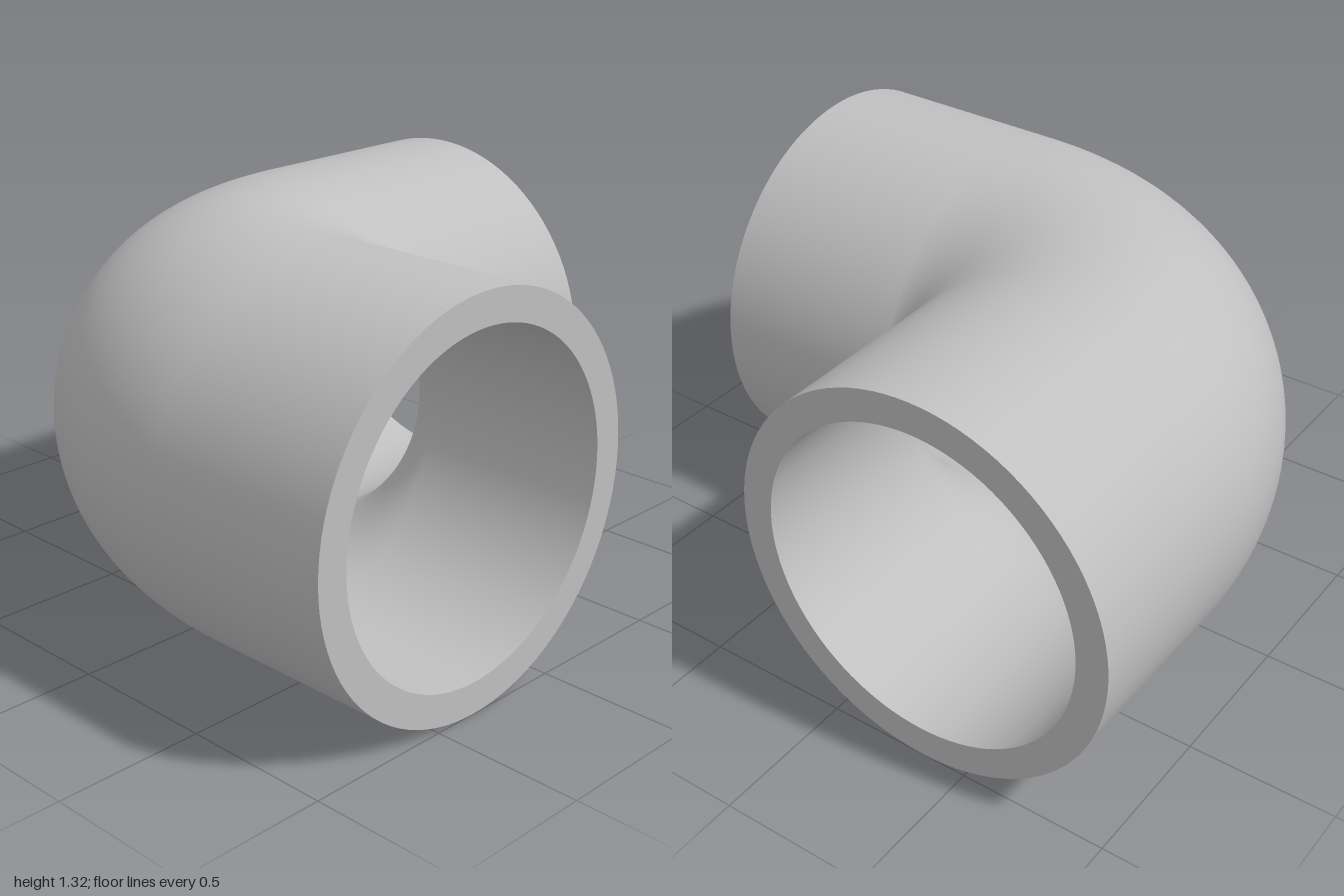
import * as THREE from 'three';

const OUTER = 0.6575, INNER = 0.551;   // pipe radii
const BEND = 0.6725, CORNER = 0.33;    // centreline bend radius and pivot (x = z)
const AXIS = CORNER - BEND;            // centreline offset of both legs
const SIDES = 96, STEPS = 40;

// Cross-sections along the elbow: straight leg, quarter bend, straight leg
function sections() {
  const list = [{ t: 0, x: AXIS, z: 1 }];
  for (let i = 0; i <= STEPS; i++) {
    const t = (i / STEPS) * Math.PI / 2;
    list.push({ t, x: CORNER - BEND * Math.cos(t), z: CORNER - BEND * Math.sin(t) });
  }
  list.push({ t: Math.PI / 2, x: 1, z: AXIS });
  return list;
}

// Smooth wall swept along the elbow, facing outward or into the bore
function wall(radius, inward) {
  const pos = [], nor = [], idx = [];
  const sign = inward ? -1 : 1, row = SIDES + 1;
  const rings = sections();
  rings.forEach(({ t, x, z }, s) => {
    for (let k = 0; k <= SIDES; k++) {
      const a = (k / SIDES) * Math.PI * 2;
      const nx = -Math.cos(t) * Math.cos(a), ny = Math.sin(a), nz = -Math.sin(t) * Math.cos(a);
      pos.push(x + radius * nx, OUTER + radius * ny, z + radius * nz);
      nor.push(sign * nx, sign * ny, sign * nz);
      if (s < rings.length - 1 && k < SIDES) {
        const p = s * row + k, q = p + 1, r = p + row, w = r + 1;
        if (inward) idx.push(p, r, q, q, r, w);
        else idx.push(p, q, r, q, w, r);
      }
    }
  });
  const geo = new THREE.BufferGeometry();
  geo.setAttribute('position', new THREE.Float32BufferAttribute(pos, 3));
  geo.setAttribute('normal', new THREE.Float32BufferAttribute(nor, 3));
  geo.setIndex(idx);
  return geo;
}

export function createModel() {
  const grey = new THREE.MeshStandardMaterial({ color: 0xc0c0c0 });
  grey.name = 'pipe grey';
  const group = new THREE.Group();
  group.name = 'pipeElbow';
  const add = (name, geo) => {
    const mesh = new THREE.Mesh(geo, grey);
    mesh.name = name;
    group.add(mesh);
    return mesh;
  };

  add('outerWall', wall(OUTER, false));
  add('innerBore', wall(INNER, true));

  // Flat rims closing the wall thickness at both openings
  const rim = new THREE.RingGeometry(INNER, OUTER, SIDES);
  add('frontRim', rim).position.set(AXIS, OUTER, 1);
  const side = add('sideRim', rim);
  side.position.set(1, OUTER, AXIS);
  side.rotation.y = Math.PI / 2;

  return group;
}
